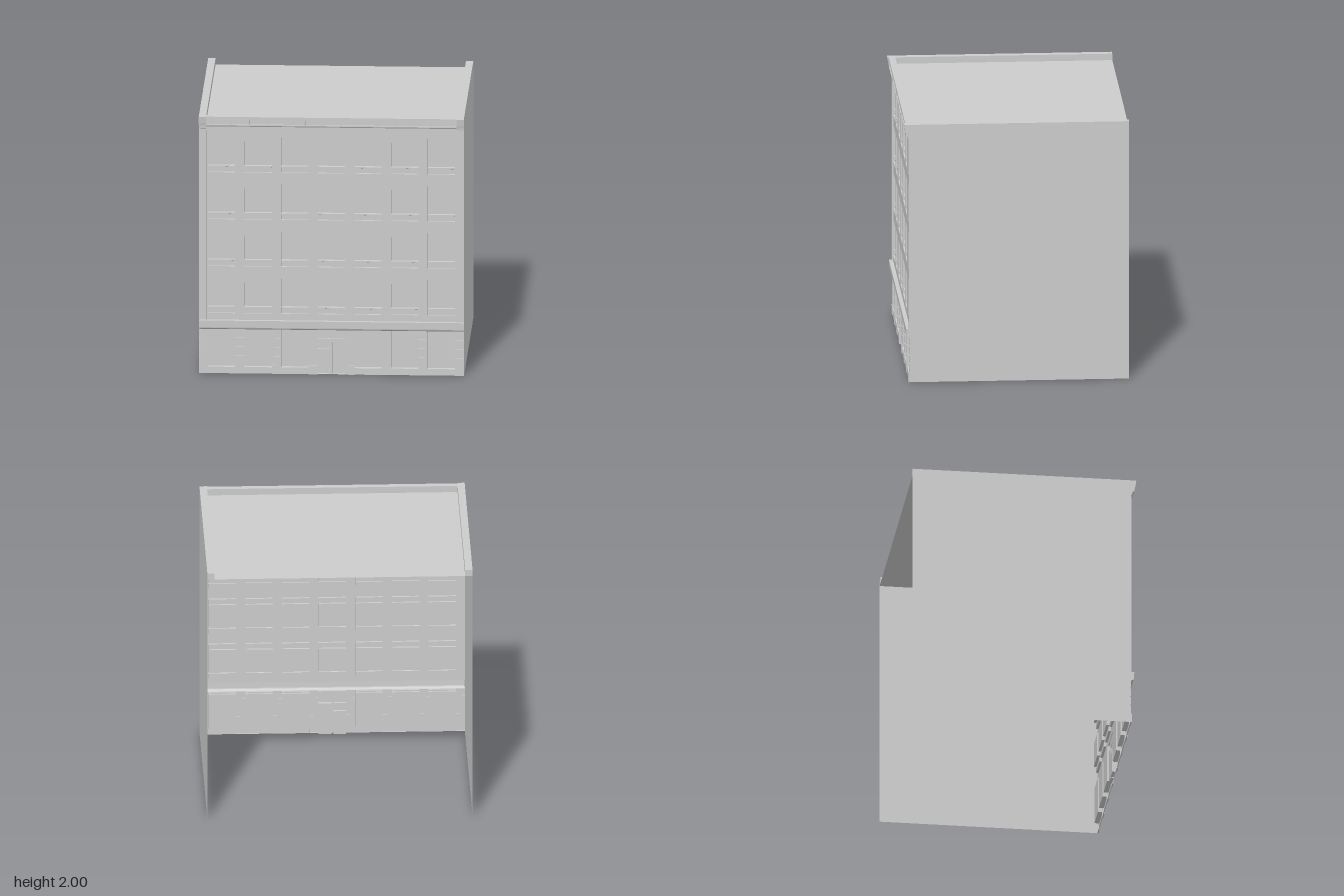
import * as THREE from 'three';
import { mergeGeometries } from 'three/addons/utils/BufferGeometryUtils.js';

const HALF = 0.995, BACK = -0.845, WALL = 0.8; // half width, rear edge, facade plane
const INNER = 0.94;                            // inner edge of pilasters and parapet
const PITCH = 0.275, WIN = 0.1025;             // bay spacing, half window width
const bays = [-3, -2, -1, 0, 1, 2, 3].map(i => i * PITCH);

const material = new THREE.MeshStandardMaterial({ color: 0xcccccc, side: THREE.DoubleSide });

function add(parent, name, geometry) {
  const mesh = new THREE.Mesh(geometry, material);
  mesh.name = name;
  parent.add(mesh);
  return mesh;
}

// Sheet swept along x from a [z, y] profile (bottom to top), with closed ends
function relief(parent, name, x0, x1, profile) {
  const pos = [];
  for (let i = 0; i < profile.length - 1; i++) {
    const [za, ya] = profile[i], [zb, yb] = profile[i + 1];
    pos.push(x0, ya, za, x1, ya, za, x1, yb, zb, x0, ya, za, x1, yb, zb, x0, yb, zb);
  }
  const strip = new THREE.BufferGeometry();
  strip.setAttribute('position', new THREE.Float32BufferAttribute(pos, 3));
  strip.computeVertexNormals();
  const parts = [strip];
  if (profile.length > 2) {
    for (const x of [x0, x1]) {
      const end = new THREE.ShapeGeometry(new THREE.Shape(profile.map(p => new THREE.Vector2(...p))));
      end.rotateY(-Math.PI / 2).translate(x, 0, 0);
      end.deleteAttribute('uv');
      parts.push(end.toNonIndexed());
    }
  }
  return add(parent, name, mergeGeometries(parts));
}

// Rectangular step in (negative depth) or out (positive depth) of plane z
function step(parent, name, x0, x1, y0, y1, depth, z = WALL) {
  return relief(parent, name, x0, x1, [[z, y0], [z + depth, y0], [z + depth, y1], [z, y1]]);
}

function rect(x0, x1, y0, y1, Type = THREE.Shape) {
  return new Type([[x0, y0], [x1, y0], [x1, y1], [x0, y1]].map(p => new THREE.Vector2(...p)));
}

// Flat panel with rectangular openings
function pierced(parent, name, outline, holes, z) {
  const shape = rect(...outline);
  shape.holes = holes.map(h => rect(...h, THREE.Path));
  add(parent, name, new THREE.ShapeGeometry(shape)).position.z = z;
}

function buildUpperFloors(group) {
  const holes = [];
  for (let floor = 0; floor < 4; floor++) {
    const y0 = 0.465 + floor * 0.365, y1 = y0 + 0.275;
    for (const x of bays) {
      holes.push([x - WIN, x + WIN, y0, y1]);
      // apron, sill ledge, pane and header
      relief(group, 'window', x - WIN, x + WIN, [
        [WALL, y0], [WALL - 0.018, y0], [WALL - 0.018, y0 + 0.038], [WALL - 0.004, y0 + 0.042],
        [WALL - 0.004, y0 + 0.05], [WALL - 0.035, y0 + 0.05], [WALL - 0.035, y1 - 0.04],
        [WALL - 0.018, y1 - 0.04], [WALL - 0.018, y1], [WALL, y1]]);
    }
  }
  pierced(group, 'upperWall', [-HALF, HALF, 0.415, 1.885], holes, WALL);
  step(group, 'leftPilaster', INNER, HALF, 0.415, 1.885, 0.01);
  step(group, 'rightPilaster', -HALF, -INNER, 0.415, 1.885, 0.01);
}

function buildGroundFloor(group) {
  // Piers with plinth and grooved courses
  const pier = [[WALL, 0], [0.811, 0], [0.811, 0.07], [0.806, 0.07]];
  for (const y of [0.14, 0.21, 0.28]) {
    pier.push([0.806, y - 0.004], [0.801, y - 0.004], [0.801, y + 0.004], [0.806, y + 0.004]);
  }
  pier.push([0.806, 0.345], [WALL, 0.345]);
  for (let i = 0; i < 8; i++) {
    const x0 = i === 0 ? -HALF : bays[i - 1] + WIN;
    const x1 = i === 7 ? HALF : bays[i] - WIN;
    relief(group, 'pier', x0, x1, pier);
  }
  // Shop windows over a low base
  for (const x of bays.filter(b => b !== 0)) {
    step(group, 'shopBase', x - WIN, x + WIN, 0, 0.05, 0.006);
    relief(group, 'shopWindow', x - WIN, x + WIN, [
      [WALL, 0.05], [0.77, 0.05], [0.77, 0.335], [0.785, 0.335], [0.785, 0.345], [WALL, 0.345]]);
  }
  // Entrance bay
  step(group, 'entranceTransom', -WIN, WIN, 0.275, 0.345, -0.015);
  step(group, 'doorLight', -WIN, -0.01, 0.195, 0.25, -0.02);
  step(group, 'door', -WIN, -0.01, 0, 0.185, -0.025);
  step(group, 'entranceWindow', 0.005, WIN, 0, 0.25, -0.025);
  relief(group, 'entranceLintel', -WIN, WIN, [[WALL, 0.25], [WALL, 0.275]]);
  relief(group, 'doorRail', -WIN, -0.01, [[WALL, 0.185], [WALL, 0.195]]);
  relief(group, 'entranceMullion', -0.01, 0.005, [[WALL, 0], [WALL, 0.25]]);
  // Belt course above the shops
  relief(group, 'beltCourse', -HALF, HALF, [
    [WALL, 0.345], [0.812, 0.345], [0.826, 0.355], [0.828, 0.362], [0.83, 0.415], [WALL, 0.415]]);
}

function buildCornice(group) {
  const face = 0.835;
  const lower = [[WALL, 1.885], [0.808, 1.885], [0.808, 1.918], [0.83, 1.924], [face, 1.932]];
  relief(group, 'corniceMoulding', -INNER, INNER, lower);
  relief(group, 'corniceTop', -INNER, INNER, [[face, 2], [WALL, 2]]);
  // Wide panel over each bay, narrower ones between
  const panels = [];
  for (let i = -7; i <= 7; i++) {
    const x = i * PITCH / 2, half = i % 2 ? 0.058 : 0.066;
    panels.push([Math.max(x - half, -INNER + 0.003), Math.min(x + half, INNER - 0.003), 1.94, 1.98]);
  }
  pierced(group, 'corniceFace', [-INNER, INNER, 1.932, 2], panels, face);
  for (const p of panels) step(group, 'cornicePanel', ...p, -0.014, face);
  // Heavier end blocks
  const block = [[WALL, 1.885], [0.815, 1.885], [0.815, 1.904], [0.831, 1.91],
    [0.833, 1.93], [0.838, 1.95], [0.845, 2], [WALL, 2]];
  relief(group, 'leftCorniceBlock', INNER, HALF, block);
  relief(group, 'rightCorniceBlock', -HALF, -INNER, block);
}

function buildShell(group) {
  for (const side of [-1, 1]) {
    const wall = add(group, side > 0 ? 'leftWall' : 'rightWall', new THREE.PlaneGeometry(WALL - BACK, 2));
    wall.rotation.y = side * Math.PI / 2;
    wall.position.set(side * HALF, 1, (WALL + BACK) / 2);
  }
  const front = 0.785, roofY = 1.95;
  const roof = add(group, 'roof', new THREE.PlaneGeometry(2 * INNER, front - BACK));
  roof.rotation.x = -Math.PI / 2;
  roof.position.set(0, roofY, (front + BACK) / 2);
  // Parapet on three sides, open at the rear
  const outline = [[-HALF, -BACK], [-HALF, -WALL], [HALF, -WALL], [HALF, -BACK],
    [INNER, -BACK], [INNER, -front], [-INNER, -front], [-INNER, -BACK]];
  const parapet = new THREE.ExtrudeGeometry(new THREE.Shape(outline.map(p => new THREE.Vector2(...p))),
    { depth: 2 - roofY, bevelEnabled: false });
  add(group, 'parapet', parapet.rotateX(-Math.PI / 2)).position.y = roofY;
}

export function createModel() {
  const model = new THREE.Group();
  model.name = 'building';
  const sections = { shell: buildShell, groundFloor: buildGroundFloor, upperFloors: buildUpperFloors, cornice: buildCornice };
  for (const [name, build] of Object.entries(sections)) {
    const group = new THREE.Group();
    group.name = name;
    build(group);
    model.add(group);
  }
  return model;
}
